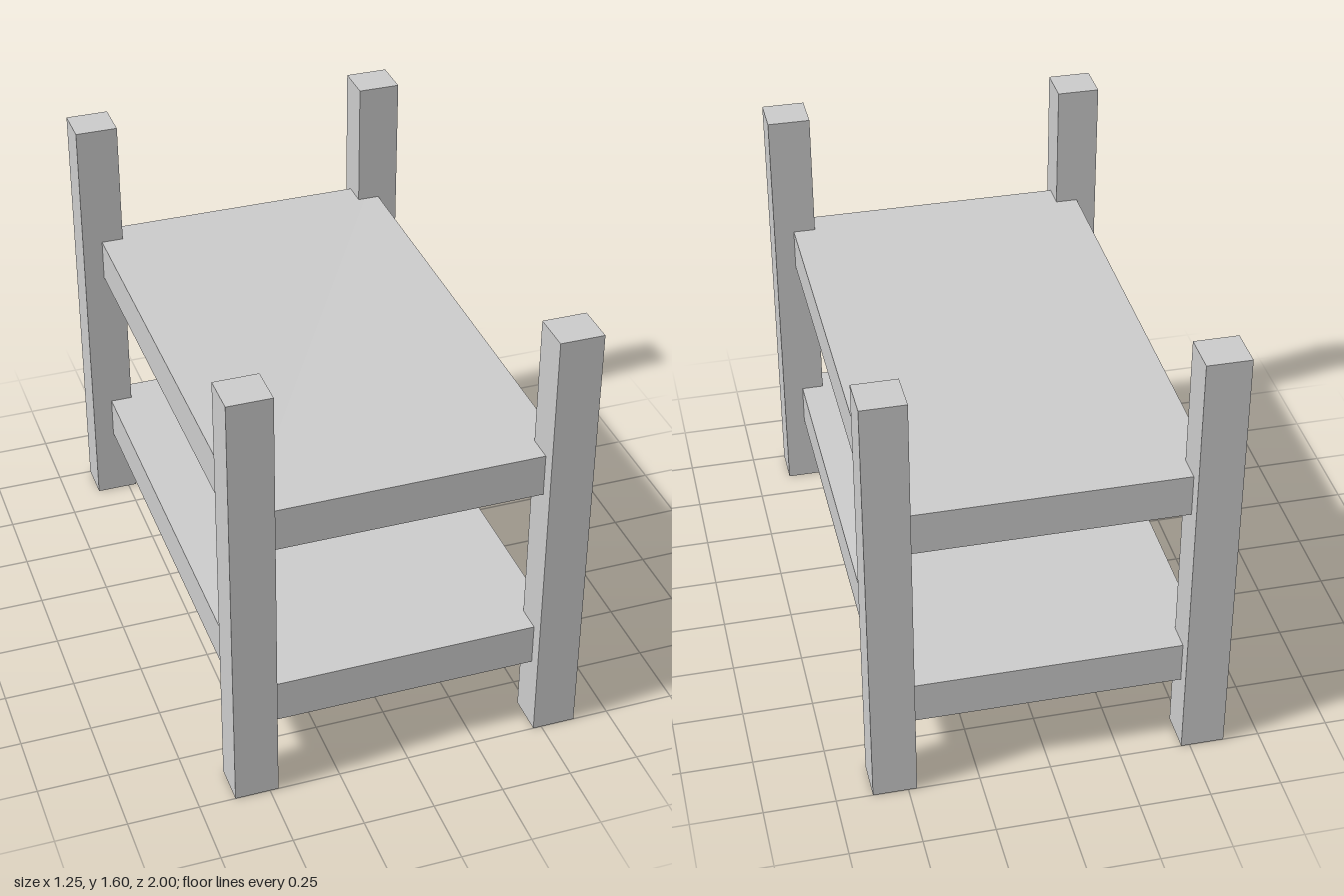
import * as THREE from 'three';

export function createModel() {
  const model = new THREE.Group();
  const material = new THREE.MeshStandardMaterial({ color: 0xcccccc, flatShading: true });

  const addBox = (name, [w, h, d], [x, y, z]) => {
    const mesh = new THREE.Mesh(new THREE.BoxGeometry(w, h, d), material);
    mesh.name = name;
    mesh.position.set(x, y, z);
    model.add(mesh);
  };

  // Four corner posts
  for (const [zName, sz] of [['front', 1], ['back', -1]]) {
    for (const [xName, sx] of [['Left', 1], ['Right', -1]]) {
      addBox(`${zName}${xName}Post`, [0.153, 1.6, 0.143], [sx * 0.5465, 0.8, sz * 0.9285]);
    }
  }

  // Two thick shelves set into the posts
  addBox('lowerShelf', [1.1, 0.154, 1.9], [0, 0.343, 0]);
  addBox('upperShelf', [1.1, 0.154, 1.9], [0, 1.06, 0]);

  return model;
}
